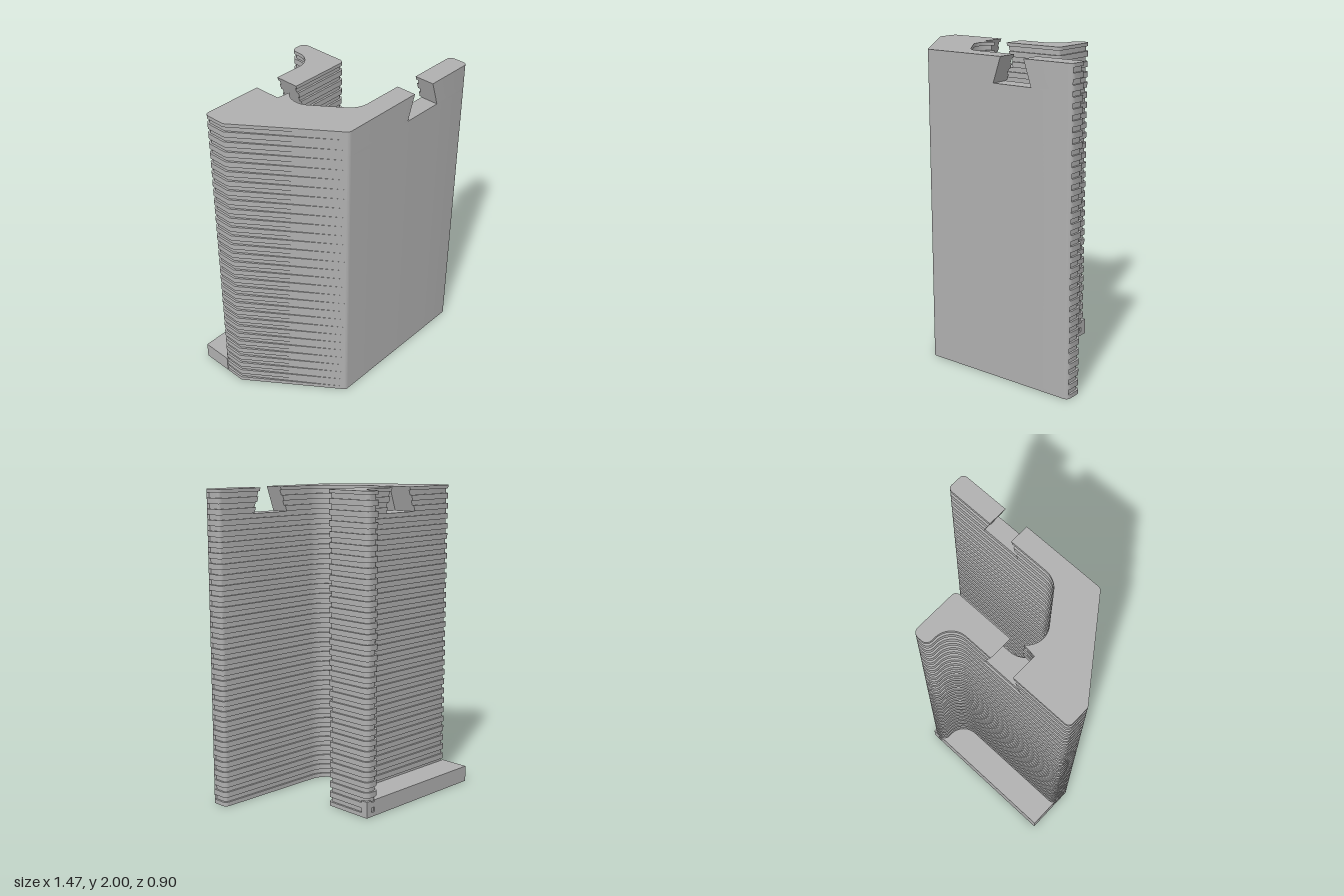
import * as THREE from 'three';
import { mergeGeometries, toCreasedNormals } from 'three/addons/utils/BufferGeometryUtils.js';

const HEIGHT = 2, NOTCH_Y = 1.842, SLOPE = 0.34;
const GROOVE_COUNT = 30, PITCH = 0.0662, FIRST = 0.0425, HALF = 0.0155, DEPTH = 0.013;

// Plan outline as [x, z, fillet radius]; zero radius marks a notch edge
const PLAN = [
  [0.4, 0.45, 0], [0.735, 0.45, 0.03], [0.735, 0.32, 0.03], [0.4, 0.32, 0], [0.235, 0.32, 0],
  [-0.1, 0.32, 0.14], [-0.414, -0.115, 0.125], [-0.165, -0.115, 0],
  [0.25, -0.115, 0.03], [0.25, -0.455, 0.04], [0.14, -0.455, 0.04], [0.14, -0.27, 0.12],
  [-0.165, -0.27, 0], [-0.33, -0.27, 0],
  [-0.735, -0.27, 0.03], [-0.735, -0.12, 0.03], [-0.325, 0.45, 0.03], [0.235, 0.45, 0],
];
const vec = (x, z) => new THREE.Vector2(x, -z);

// Round the corners; also record where each corner starts in the dense outline
function roundedOutline(plan) {
  const points = [], starts = [];
  const corner = i => vec(...plan[(i + plan.length) % plan.length]);
  plan.forEach(([x, z, r], i) => {
    starts.push(points.length);
    const p = vec(x, z);
    if (!r) { points.push(p); return; }
    const d1 = p.clone().sub(corner(i - 1)).normalize();
    const d2 = corner(i + 1).sub(p).normalize();
    const turn = Math.atan2(d1.cross(d2), d1.dot(d2));
    const start = p.clone().addScaledVector(d1, -r * Math.tan(Math.abs(turn) / 2));
    const side = new THREE.Vector2(-d1.y, d1.x).multiplyScalar(Math.sign(turn) * r);
    const centre = start.clone().add(side);
    const steps = r > 0.1 ? 14 : 6;
    for (let k = 0; k <= steps; k++) {
      points.push(start.clone().rotateAround(centre, turn * k / steps));
    }
  });
  return { points, starts };
}

// Groove outline: moved inward everywhere except along the smooth front
function insetOutline(points) {
  const n = points.length;
  return points.map((p, i) => {
    if (p.y < -0.432) return p.clone();
    const d1 = p.clone().sub(points[(i + n - 1) % n]).normalize();
    const d2 = points[(i + 1) % n].clone().sub(p).normalize();
    const d = d1.add(d2).normalize();
    return p.clone().add(new THREE.Vector2(-d.y, d.x).multiplyScalar(DEPTH));
  });
}

function prism(points, y0, y1) {
  const g = new THREE.ExtrudeGeometry(new THREE.Shape(points), { depth: y1 - y0, bevelEnabled: false });
  g.rotateX(-Math.PI / 2);
  g.translate(0, y0, 0);
  return g;
}

// Slant the notch walls: cuts are [x, sign of z, direction]
function slantCuts(g, cuts) {
  const pos = g.attributes.position;
  for (let i = 0; i < pos.count; i++) {
    const x = pos.getX(i), y = pos.getY(i), z = pos.getZ(i);
    for (const [cx, zs, dir] of cuts) {
      if (Math.abs(x - cx) < 1e-3 && z * zs > 0) pos.setX(i, x + dir * SLOPE * (HEIGHT - y));
    }
  }
  return g;
}

// The three separate pieces that remain beside the dovetail notches
function notchedPieces(points, s) {
  const inner = points.slice(s[4], s[7]).filter(p => p.y < 0.1);
  return [
    { points: points.slice(s[0], s[4]), cuts: [[0.4, 1, 1]] },
    { points: points.slice(s[7], s[13]), cuts: [[-0.165, -1, 1]] },
    { points: [...inner, vec(-0.33, -0.1), ...points.slice(s[13])], cuts: [[0.235, 1, -1], [-0.33, -1, -1]] },
  ];
}

export function createModel() {
  const group = new THREE.Group();
  group.name = 'groovedBracket';
  const grey = new THREE.MeshStandardMaterial({ color: 0xb0b0b0 });
  grey.name = 'grey';
  const addPart = (name, geometries) => {
    const g = toCreasedNormals(mergeGeometries(geometries.map(a => a.toNonIndexed ? (a.index ? a.toNonIndexed() : a) : a)), 0.45);
    const mesh = new THREE.Mesh(g, grey);
    mesh.name = name;
    group.add(mesh);
  };

  const { points: full, starts } = roundedOutline(PLAN);
  const inset = insetOutline(full);

  // Alternating ridge and groove layers
  const levels = [0, NOTCH_Y, HEIGHT];
  for (let i = 0; i < GROOVE_COUNT; i++) {
    const c = FIRST + i * PITCH;
    levels.push(c - HALF, c + HALF);
  }
  levels.sort((a, b) => a - b);

  const body = [], upper = [[], [], []];
  for (let i = 0; i + 1 < levels.length; i++) {
    const y0 = levels[i], y1 = levels[i + 1], mid = (y0 + y1) / 2;
    const k = Math.round((mid - FIRST) / PITCH);
    const grooved = k >= 0 && k < GROOVE_COUNT && Math.abs(mid - FIRST - k * PITCH) < HALF;
    const outline = grooved ? inset : full;
    if (mid < NOTCH_Y) body.push(prism(outline, y0, y1));
    else notchedPieces(outline, starts).forEach((piece, j) => {
      upper[j].push(slantCuts(prism(piece.points, y0, y1), piece.cuts));
    });
  }
  addPart('body', body);
  ['frontPlateTop', 'hookTop', 'bodyTop'].forEach((name, j) => addPart(name, upper[j]));

  // Solid foot filling the recess behind the back wall
  const foot = [[-0.735, -0.455], [0.18, -0.455], [0.165, -0.4], [0.15, -0.3], [0, -0.25], [-0.735, -0.255]];
  const footCorner = [[0.21, -0.455], [0.25, -0.455], [0.25, -0.41], [0.22, -0.41]];
  addPart('backFoot', [foot, footCorner].map(a => prism(a.map(p => vec(...p)), 0, 0.105)));
  return group;
}
